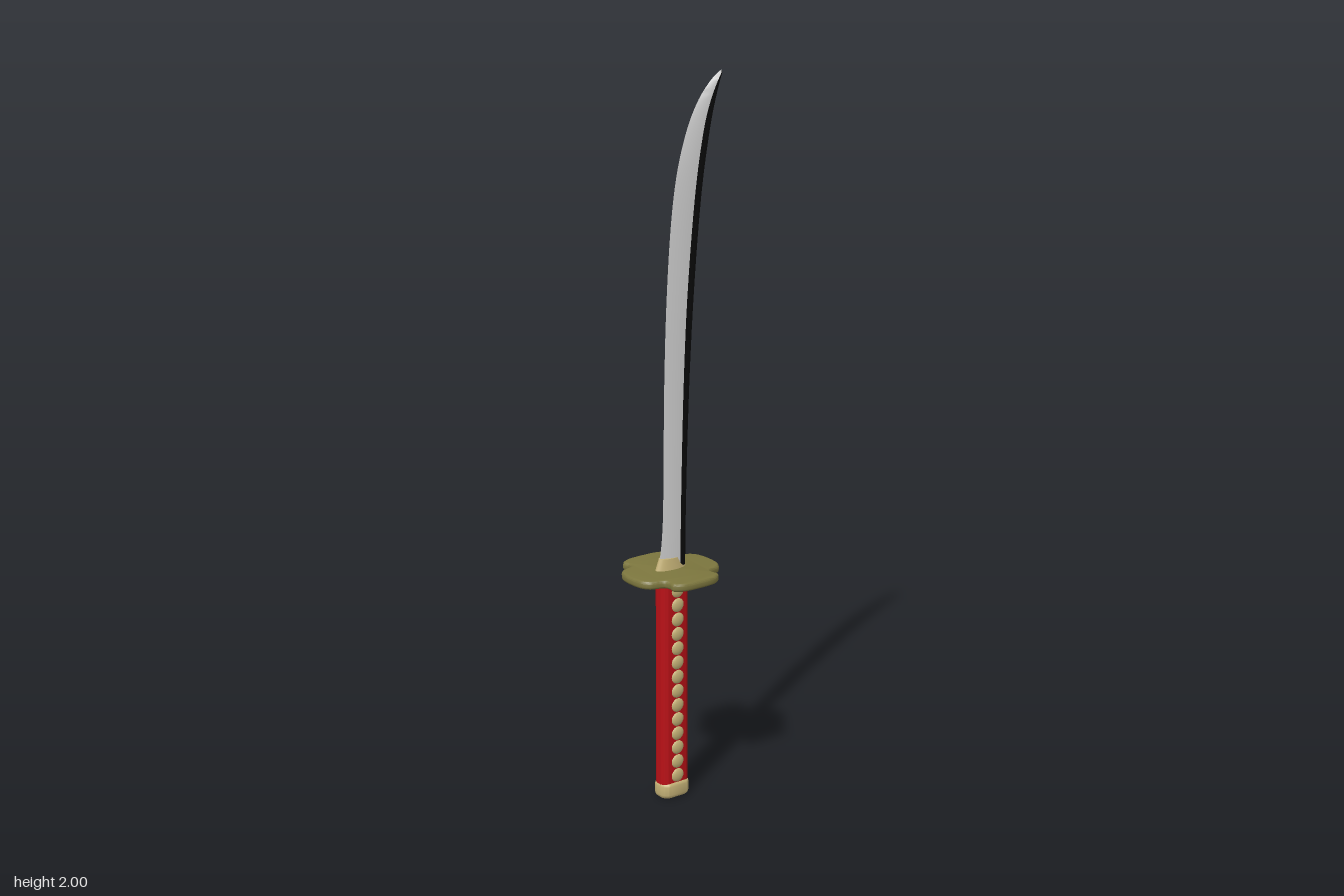
import * as THREE from 'three';
import { toCreasedNormals } from 'three/addons/utils/BufferGeometryUtils.js';

const mat = (name, color, side = THREE.FrontSide) => {
  const m = new THREE.MeshStandardMaterial({ color, side });
  m.name = name;
  return m;
};

// Rounded rectangle outline, centred on the origin
function roundedShape(hx, hz, r) {
  const s = new THREE.Shape();
  s.moveTo(hx, -hz + r);
  s.absarc(hx - r, hz - r, r, 0, Math.PI / 2);
  s.absarc(-hx + r, hz - r, r, Math.PI / 2, Math.PI);
  s.absarc(-hx + r, -hz + r, r, Math.PI, Math.PI * 1.5);
  s.absarc(hx - r, -hz + r, r, Math.PI * 1.5, Math.PI * 2);
  return s;
}

// Horizontal slab from y0 to y1 with rounded rims
function slab(shape, y0, y1, bevel) {
  const g = new THREE.ExtrudeGeometry(shape, {
    depth: y1 - y0 - 2 * bevel, bevelEnabled: bevel > 0, bevelThickness: bevel,
    bevelSize: bevel, bevelOffset: -bevel, bevelSegments: 3, curveSegments: 10,
  });
  g.rotateX(-Math.PI / 2);
  g.translate(0, y0 + bevel, 0);
  return toCreasedNormals(g, 0.7);
}

// Open strip swept through equally long rows of [x, y, z]
function strip(rows) {
  const pos = [], idx = [], n = rows[0].length;
  rows.forEach(row => row.forEach(p => pos.push(...p)));
  for (let i = 0; i < rows.length - 1; i++) {
    for (let j = 0; j < n - 1; j++) {
      const a = i * n + j, b = a + n;
      idx.push(a, b, a + 1, b, b + 1, a + 1);
    }
  }
  const g = new THREE.BufferGeometry();
  g.setAttribute('position', new THREE.Float32BufferAttribute(pos, 3));
  g.setIndex(idx);
  return toCreasedNormals(g, 0.7);
}

export function createModel() {
  const group = new THREE.Group();
  const steel = mat('steel', 0xc6c6c6, THREE.DoubleSide);
  const black = mat('black', 0x0c0c0c, THREE.DoubleSide);
  const olive = mat('olive brass', 0x7c763e);
  const tan = mat('pale brass', 0xc4b176);
  const red = mat('red wrap', 0xb81016);
  const add = (name, geo, material, z = 0) => {
    const m = new THREE.Mesh(geo, material);
    m.name = name;
    m.position.z = z;
    group.add(m);
    return m;
  };
  const gripZ = 0.013;

  // Blade stations: height, edge z, colour boundary z, back z, half thickness
  const stations = [
    [0.66, 0.062, -0.004, -0.03, 0.016],
    [0.72, 0.050, -0.005, -0.031, 0.016],
    [0.80, 0.043, -0.006, -0.032, 0.016],
    [1.00, 0.040, -0.010, -0.037, 0.016],
    [1.20, 0.037, -0.016, -0.045, 0.016],
    [1.40, 0.030, -0.026, -0.057, 0.016],
    [1.60, 0.016, -0.043, -0.074, 0.016],
    [1.72, 0.000, -0.057, -0.088, 0.016],
    [1.80, -0.019, -0.070, -0.101, 0.016],
    [1.88, -0.048, -0.089, -0.117, 0.014],
    [1.94, -0.083, -0.112, -0.133, 0.012],
    [1.98, -0.120, -0.135, -0.146, 0.009],
    [1.993, -0.138, -0.145, -0.151, 0.006],
    [2.00, -0.150, -0.150, -0.150, 0],
  ];
  const curves = [1, 2, 3, 4].map(k => new THREE.CatmullRomCurve3(
    stations.map(s => new THREE.Vector3(s[k], s[0], 0)), false, 'centripetal'));
  const steps = 65, edgeRows = [], backRows = [];
  for (let i = 0; i <= steps; i++) {
    const [f, m, b, w] = curves.map(c => c.getPoint(i / steps));
    const y = m.y, h = Math.max(0, w.x);
    const mid = THREE.MathUtils.lerp(m.x, f.x, 0.5);
    edgeRows.push([[h, y, m.x], [h * 0.72, y, mid], [0, y, f.x], [-h * 0.72, y, mid], [-h, y, m.x]]);
    const back = [];
    for (let j = 0; j <= 8; j++) {
      const a = Math.PI * j / 8;
      back.push([-h * Math.cos(a), y, m.x + (b.x - m.x) * Math.sin(a)]);
    }
    backRows.push(back);
  }
  add('bladeEdge', strip(edgeRows), steel);
  add('bladeBack', strip(backRows), black);

  // Four-lobed guard, mirrored from one quarter outline
  const quarter = [[0.134, 0], [0.133, 0.035], [0.127, 0.06], [0.112, 0.077], [0.092, 0.073],
    [0.077, 0.078], [0.07, 0.097], [0.064, 0.115], [0.045, 0.129], [0.02, 0.134], [0, 0.135]];
  const half = [...quarter, ...quarter.slice(0, -1).reverse().map(([x, z]) => [-x, z])];
  const outline = [...half, ...half.slice(1, -1).reverse().map(([x, z]) => [x, -z])]
    .map(([x, z]) => new THREE.Vector3(x, z, 0));
  const loop = new THREE.CatmullRomCurve3(outline, true).getPoints(96).slice(0, -1);
  add('guard', slab(new THREE.Shape(loop.map(p => new THREE.Vector2(p.x, p.y))), 0.645, 0.668, 0.007), olive, 0.017);
  add('guardWasher', slab(roundedShape(0.037, 0.055, 0.03), 0.632, 0.648, 0.004), olive, gripZ);

  // Blade collar
  const collar = new THREE.CylinderGeometry(0.75, 1, 0.036, 28);
  collar.scale(0.021, 1, 0.051);
  add('bladeCollar', collar, tan, 0.017).position.y = 0.681;

  // Grip and end cap
  add('grip', slab(roundedShape(0.027, 0.045, 0.022), 0.04, 0.636, 0), red, gripZ);
  add('endCap', slab(roundedShape(0.032, 0.047, 0.026), 0, 0.048, 0.012), tan, gripZ);

  // Row of flattened studs along both sides of the grip
  const stud = new THREE.SphereGeometry(1, 14, 10);
  for (const side of [-1, 1]) {
    for (let i = 0; i < 14; i++) {
      const s = add('gripStud', stud, tan, gripZ);
      s.scale.set(0.009, 0.0205, 0.021);
      s.position.set(side * 0.025, 0.066 + i * 0.0417, gripZ);
    }
  }
  return group;
}
